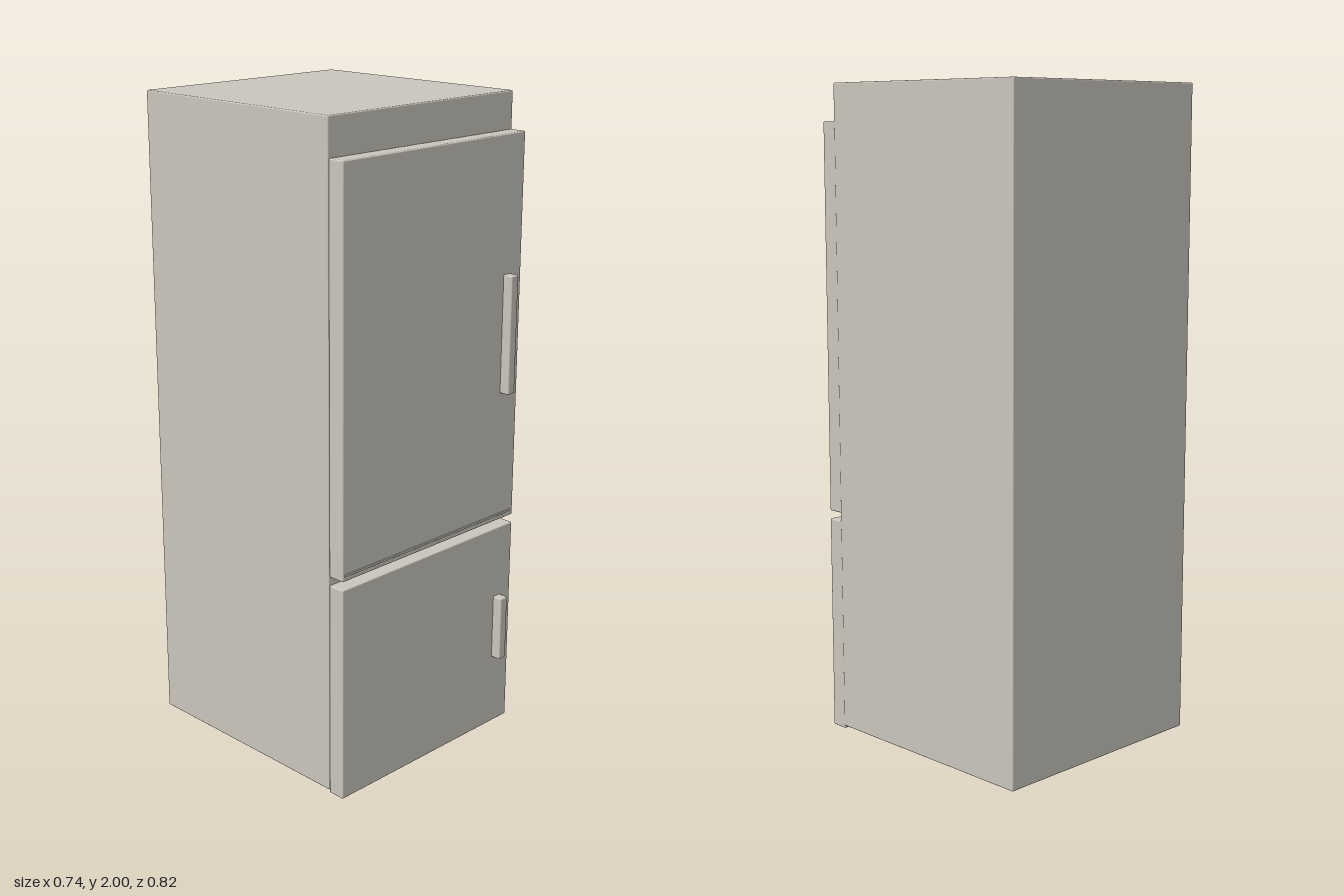
import * as THREE from 'three';
import { RoundedBoxGeometry } from 'three/addons/geometries/RoundedBoxGeometry.js';

export function createModel() {
  const model = new THREE.Group();
  model.name = 'refrigerator';
  const enamel = new THREE.MeshStandardMaterial({ color: 0xcbc7bd });
  enamel.name = 'warm grey enamel';

  // Softly edged block given by its lower and upper corners
  function block(name, [x0, y0, z0], [x1, y1, z1], radius) {
    const geometry = new RoundedBoxGeometry(x1 - x0, y1 - y0, z1 - z0, 2, radius);
    const mesh = new THREE.Mesh(geometry, enamel);
    mesh.name = name;
    mesh.position.set((x0 + x1) / 2, (y0 + y1) / 2, (z0 + z1) / 2);
    model.add(mesh);
  }

  block('cabinet', [-0.371, 0.037, -0.412], [0.371, 2, 0.328], 0.004);

  // Doors, each with an upright handle on the left edge
  const doors = [
    { name: 'upper', y: [0.715, 1.89], handle: [1.122, 1.482] },
    { name: 'lower', y: [0.027, 0.69], handle: [0.255, 0.462] },
  ];
  for (const { name, y, handle } of doors) {
    block(name + 'Door', [-0.368, y[0], 0.327], [0.368, y[1], 0.381], 0.004);
    block(name + 'Handle', [0.291, handle[0], 0.377], [0.321, handle[1], 0.412], 0.004);
  }

  // Thin lip along the bottom of the upper door
  block('doorLip', [-0.362, 0.73, 0.375], [0.362, 0.737, 0.384], 0.001);

  // Rear feet
  for (const side of [-1, 1]) {
    const x = side * 0.25;
    block(side < 0 ? 'rightFoot' : 'leftFoot', [x - 0.025, 0, -0.313], [x + 0.025, 0.045, -0.263], 0.004);
  }
  return model;
}
